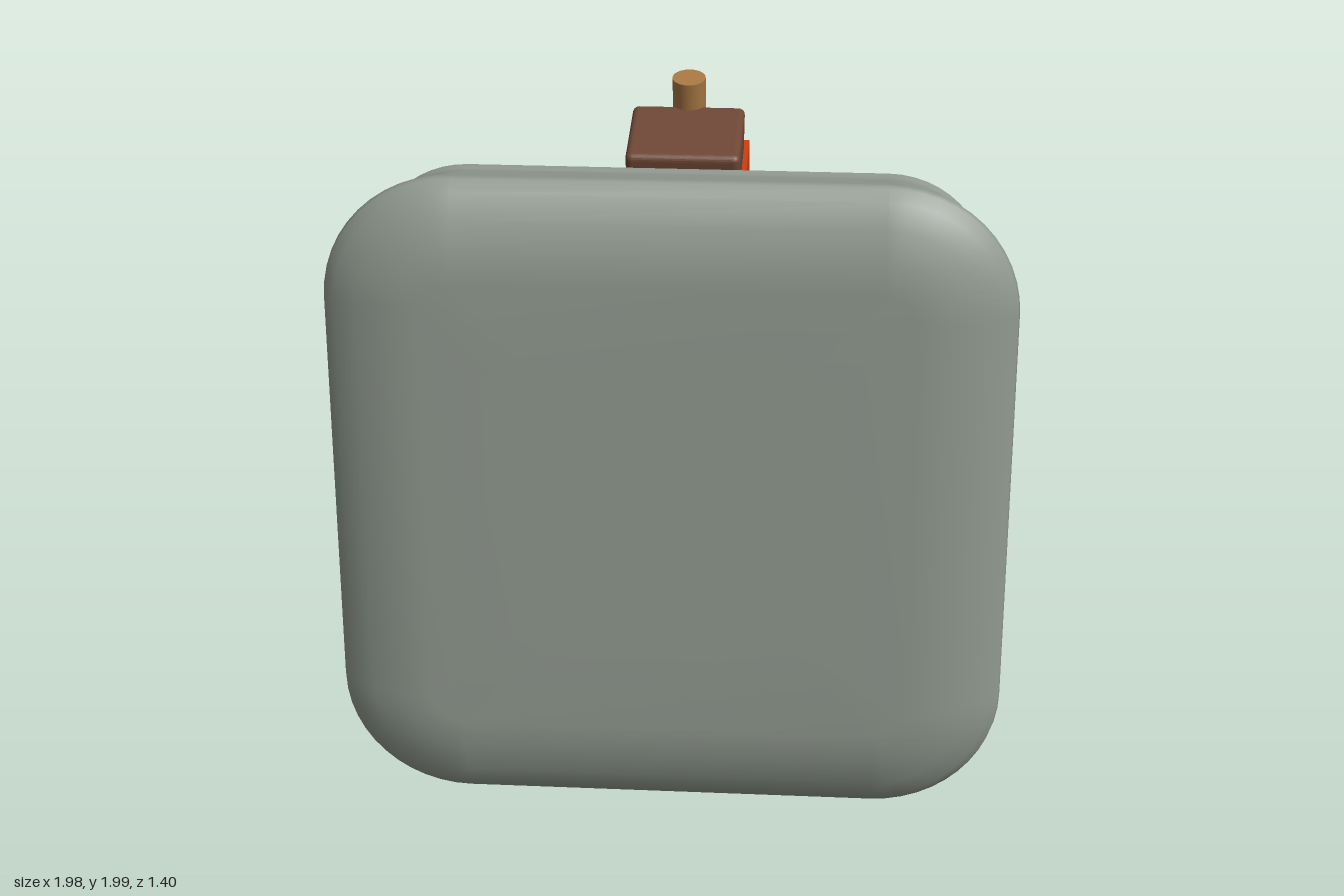
import * as THREE from 'three';
import { RoundedBoxGeometry } from 'three/addons/geometries/RoundedBoxGeometry.js';

const V = (x, y, z) => new THREE.Vector3(x, y, z);
const paint = (color) => new THREE.MeshStandardMaterial({ color });
const stone = paint(0x919a90), tan = paint(0xa87843), wood = paint(0x6f4635);
const rope = paint(0xd9b893), cloth = paint(0xc83c0c), bone = paint(0xcccccc);

function add(parent, name, geometry, material) {
  const mesh = new THREE.Mesh(geometry, material);
  mesh.name = name;
  parent.add(mesh);
  return mesh;
}

// Straight round rod from a to b, with its own radius at each end
function rod(parent, name, a, b, ra, rb, material, sides = 24) {
  const mesh = add(parent, name, new THREE.CylinderGeometry(rb, ra, a.distanceTo(b), sides), material);
  mesh.position.copy(a).add(b).multiplyScalar(0.5);
  mesh.quaternion.setFromUnitVectors(V(0, 1, 0), b.clone().sub(a).normalize());
  return mesh;
}

// Rounded square slab lofted through [z, half width] sections
function slabGeometry(sections) {
  const perCorner = 13, n = perCorner * 4, pos = [], index = [];
  for (const [z, h] of sections) {
    const r = Math.min(h, Math.max(0.06, h - 0.6));
    for (let c = 0; c < 4; c++) {
      const mid = Math.PI / 4 + c * Math.PI / 2;
      const cx = Math.sign(Math.cos(mid)) * (h - r), cy = Math.sign(Math.sin(mid)) * (h - r);
      for (let i = 0; i < perCorner; i++) {
        const a = c * Math.PI / 2 + (i / (perCorner - 1)) * Math.PI / 2;
        pos.push(cx + r * Math.cos(a), cy + r * Math.sin(a), z);
      }
    }
  }
  for (let s = 0; s < sections.length - 1; s++) {
    for (let i = 0; i < n; i++) {
      const j = (i + 1) % n, a = s * n + i, b = s * n + j;
      index.push(a, a + n, b, b, a + n, b + n);
    }
  }
  const g = new THREE.BufferGeometry();
  g.setAttribute('position', new THREE.Float32BufferAttribute(pos, 3));
  g.setIndex(index);
  g.computeVertexNormals();
  return g;
}

// Tube whose radius follows a rule along its path
function taperedTube(points, radiusAt, segments = 32, sides = 24) {
  const curve = new THREE.CatmullRomCurve3(points);
  const g = new THREE.TubeGeometry(curve, segments, 1, sides);
  const p = g.attributes.position, v = V(0, 0, 0);
  for (let i = 0; i < p.count; i++) {
    const t = Math.floor(i / (sides + 1)) / segments;
    const c = curve.getPointAt(t);
    v.fromBufferAttribute(p, i).sub(c).multiplyScalar(radiusAt(t)).add(c);
    p.setXYZ(i, v.x, v.y, v.z);
  }
  g.computeVertexNormals();
  return g;
}

export function createModel() {
  const model = new THREE.Group();
  model.name = 'mountedCrossbow';

  // Stone slab with a pillowed front and a lipped back
  const slab = add(model, 'stoneSlab', slabGeometry([
    [0.7, 0], [0.7, 0.4], [0.7, 0.69], [0.69, 0.78], [0.665, 0.87], [0.63, 0.935], [0.6, 0.965],
    [0.58, 0.97], [0.56, 0.958], [0.53, 0.948], [0.3, 0.887], [0.27, 0.882], [0.25, 0.888],
    [0.235, 0.882], [0.215, 0.85], [0.205, 0.81], [0.205, 0.4], [0.205, 0]]), stone);
  slab.position.y = 0.98;

  // Wooden disc and its side handles
  rod(model, 'woodenDisc', V(0, 0.98, 0.21), V(0, 0.98, 0.045), 0.69, 0.69, tan, 64);
  for (const s of [-1, 1]) {
    rod(model, 'sideHandle', V(s * 0.6, 0.98, 0.13), V(s * 0.99, 0.98, 0.13), 0.055, 0.092, wood);
    // Pegs carrying the stock
    rod(model, 'stockPeg', V(s * 0.13, 1.56, 0.06), V(s * 0.2, 1.55, -0.31), 0.035, 0.06, wood);
    // Curved horns
    add(model, 'horn', taperedTube(
      [V(s * 0.29, 0.61, 0.12), V(s * 0.305, 0.56, 0.03), V(s * 0.335, 0.495, -0.1),
        V(s * 0.345, 0.48, -0.25), V(s * 0.32, 0.515, -0.4), V(s * 0.27, 0.59, -0.57)],
      (t) => 0.135 * Math.pow(1 - t, 0.85) + 0.002), bone);
  }

  // Everything of the crossbow leans with the stock
  const bow = new THREE.Group();
  bow.name = 'crossbow';
  bow.position.set(0, 0.965, -0.275);
  bow.rotation.x = 0.203;
  model.add(bow);

  // Stock, narrower toward its lower end
  const stock = new RoundedBoxGeometry(0.34, 0.93, 0.31, 3, 0.02);
  const p = stock.attributes.position;
  for (let i = 0; i < p.count; i++) p.setX(i, p.getX(i) * (0.92 + 0.16 * p.getY(i)));
  stock.computeVertexNormals();
  add(bow, 'stock', stock, wood).position.y = 0.46;
  add(bow, 'stockBand', new THREE.BoxGeometry(0.36, 0.13, 0.37), cloth).position.y = 0.725;

  // Bow with broad angular tips
  const upper = [[0.18, -0.3], [0.42, -0.22], [0.6, -0.05], [0.74, 0.09], [0.88, 0.09]];
  const lower = [[0.88, -0.06], [0.63, -0.2], [0.45, -0.34], [0.18, -0.43]];
  const half = [...upper, ...lower];
  const outline = [...half, ...half.map(([x, y]) => [-x, y]).reverse()];
  const limbs = new THREE.ExtrudeGeometry(
    new THREE.Shape(outline.map(([x, y]) => new THREE.Vector2(x, y))),
    { depth: 0.15, bevelEnabled: true, bevelThickness: 0.015, bevelSize: 0.012, bevelOffset: -0.012, bevelSegments: 1 });
  add(bow, 'bowLimbs', limbs, wood).position.z = -0.1;
  add(bow, 'bowWrap', new THREE.BoxGeometry(0.335, 0.165, 0.205), cloth).position.set(-0.015, -0.37, -0.025);

  // Rope coils on the limbs and the drawn string
  for (const s of [-1, 1]) {
    const axis = V(s * 0.8, 0.6, 0).normalize();
    for (let i = -1; i <= 1; i++) {
      const coil = add(bow, 'ropeCoil', new THREE.TorusGeometry(0.122, 0.028, 12, 32), rope);
      coil.position.set(s * 0.435, -0.275, -0.025).addScaledVector(axis, i * 0.062);
      const lean = axis.clone().add(V(0, 0, i * 0.12)).normalize();
      coil.quaternion.setFromUnitVectors(V(0, 0, 1), lean);
    }
  }
  const stringPath = new THREE.CurvePath();
  const apex = V(0, 0.79, -0.225), left = V(0.46, -0.24, 0.0), right = V(-0.46, -0.24, 0.0);
  const kneeL = apex.clone().lerp(left, 0.07), kneeR = apex.clone().lerp(right, 0.07);
  stringPath.add(new THREE.LineCurve3(left, kneeL));
  stringPath.add(new THREE.QuadraticBezierCurve3(kneeL, apex, kneeR));
  stringPath.add(new THREE.LineCurve3(kneeR, right));
  add(bow, 'bowString', new THREE.TubeGeometry(stringPath, 96, 0.028, 12), rope);

  // Bolt with a four-sided head
  rod(bow, 'boltShaft', V(0, -0.66, -0.17), V(0, 1.01, -0.17), 0.05, 0.05, tan);
  const head = new THREE.ConeGeometry(0.135 * Math.SQRT2, 0.27, 4, 1, false, Math.PI / 4).toNonIndexed();
  head.computeVertexNormals();
  const tip = add(bow, 'boltHead', head, stone);
  tip.rotation.x = Math.PI;
  tip.position.set(0, -0.78, -0.17);

  return model;
}
